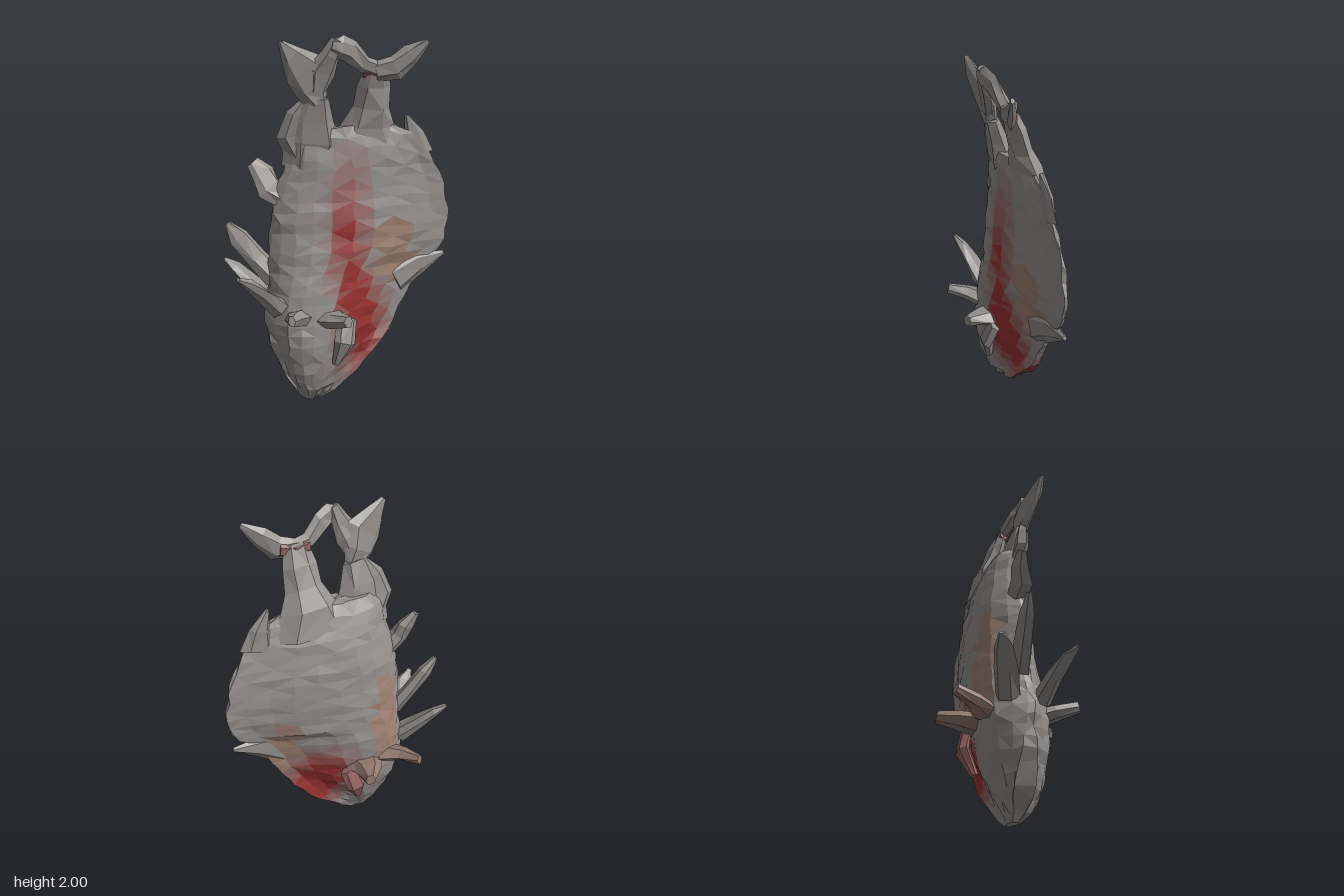
import * as THREE from 'three';

// small seeded random in -1..1
let seed = 7;
const rnd = () => {
  seed = (seed * 16807) % 2147483647;
  return (seed / 2147483647) * 2 - 1;
};
const V = (x, y, z) => new THREE.Vector3(x, y, z);

const makeMaterial = (color) =>
  new THREE.MeshStandardMaterial({ color, flatShading: true });
const GREY = 0x97928f, RED = 0x9c3432, TAN = 0xa08373;
const finMaterial = makeMaterial(0x918d89);

// skin colours: grey to red in steps, then a tan tint
const LEVELS = 6;
const skin = [];
for (let i = 0; i < LEVELS; i++)
  skin.push(makeMaterial(new THREE.Color(GREY).lerp(new THREE.Color(RED), i / (LEVELS - 1))));
skin.push(makeMaterial(TAN));

const spot = (p, x, y, rx, ry) =>
  Math.max(0, 1 - Math.hypot((p.x - x) / rx, (p.y - y) / ry));

// picks the skin colour index for a face centre
function skinIndex(p) {
  let red, tan;
  if (p.z > 0.03) {
    red = 1.5 * spot(p, 0.08, 0.42, 0.22, 0.4) + 1.1 * spot(p, 0, 0.92, 0.17, 0.62);
    tan = spot(p, 0.28, 0.85, 0.15, 0.3);
  } else {
    red = 1.7 * spot(p, 0.12, 0.38, 0.25, 0.36);
    tan = spot(p, -0.25, 0.8, 0.13, 0.4) + spot(p, 0.34, 0.68, 0.15, 0.3);
  }
  if (red < 0.25 && tan > 0.3) return LEVELS;
  return Math.min(LEVELS - 1, Math.round(red * (LEVELS - 1)));
}

// triangles of a closed skin over rings of points, with end caps
function loftTriangles(rings) {
  const tris = [], n = rings[0].length;
  for (let i = 0; i < rings.length - 1; i++)
    for (let j = 0; j < n; j++) {
      const k = (j + 1) % n;
      const a = rings[i][j], b = rings[i][k], c = rings[i + 1][k], d = rings[i + 1][j];
      if ((i + j) % 2) tris.push([a, b, c], [a, c, d]);
      else tris.push([a, b, d], [b, c, d]);
    }
  for (const [ring, top] of [[rings[0], false], [rings[rings.length - 1], true]]) {
    const m = ring.reduce((s, p) => s.add(p), V(0, 0, 0)).divideScalar(n);
    for (let j = 0; j < n; j++) {
      const a = ring[j], b = ring[(j + 1) % n];
      tris.push(top ? [a, b, m] : [b, a, m]);
    }
  }
  return tris;
}

function meshOf(name, tris, material) {
  const g = new THREE.BufferGeometry().setFromPoints(tris.flat());
  g.computeVertexNormals();
  const mesh = new THREE.Mesh(g, material);
  mesh.name = name;
  return mesh;
}

// a fin: path rows are x, y, z, half width, half thickness
function fin(name, path, across = V(1, 0, 0), material = finMaterial) {
  const pts = path.map((p) => V(p[0], p[1], p[2]));
  const rings = path.map((p, i) => {
    const dir = pts[Math.min(i + 1, pts.length - 1)].clone()
      .sub(pts[Math.max(i - 1, 0)]).normalize();
    const w = across.clone().addScaledVector(dir, -across.dot(dir)).normalize();
    const t = dir.clone().cross(w);
    return Array.from({ length: 6 }, (_, j) => {
      const a = (j / 6) * Math.PI * 2;
      return pts[i].clone()
        .addScaledVector(w, Math.cos(a) * p[3] * (1 + 0.12 * rnd()))
        .addScaledVector(t, Math.sin(a) * p[4] * (1 + 0.25 * rnd()));
    });
  });
  return meshOf(name, loftTriangles(rings), material);
}

// body sections: y, right edge x, left edge x, front z, back z
const SECTIONS = [
  [0.005, -0.23, -0.13, 0.07, 0.01], [0.05, -0.27, -0.06, 0.12, -0.01],
  [0.1, -0.3, 0, 0.15, -0.04], [0.2, -0.36, 0.11, 0.18, -0.08],
  [0.3, -0.4, 0.2, 0.2, -0.115], [0.4, -0.43, 0.28, 0.21, -0.14],
  [0.5, -0.445, 0.34, 0.2, -0.16], [0.62, -0.43, 0.4, 0.185, -0.17],
  [0.76, -0.41, 0.46, 0.165, -0.165], [0.83, -0.41, 0.59, 0.155, -0.16],
  [1, -0.4, 0.63, 0.14, -0.15], [1.2, -0.37, 0.59, 0.125, -0.13],
  [1.35, -0.32, 0.51, 0.12, -0.095], [1.46, -0.3, 0.42, 0.115, -0.06],
  [1.53, -0.24, 0.29, 0.1, -0.01],
];
const US = [0, 0.04, 0.11, 0.2, 0.3, 0.42, 0.54, 0.66, 0.78, 0.9, 1];
const BULGE = [0.1, 0.45, 0.8, 0.96, 1, 0.95, 0.8, 0.6, 0.36, 0.16, 0.07];

function sectionAt(y) {
  const i = Math.max(1, SECTIONS.findIndex((s) => s[0] >= y - 1e-6));
  const a = SECTIONS[i - 1], b = SECTIONS[i];
  return a.map((v, k) => THREE.MathUtils.lerp(v, b[k], (y - a[0]) / (b[0] - a[0])));
}

function body() {
  const ys = [0.005, 0.05, 0.1];
  for (let y = 0.155; y < 1.52; y += 0.055) ys.push(y);
  ys.push(1.53);
  const rings = ys.map((y, i) => {
    const [, x0, x1, zf, zb] = sectionAt(y);
    const edgeZ = 0.03 + 0.02 * THREE.MathUtils.smoothstep(y, 1.2, 1.5);
    const blunt = 0.5 * (1 - THREE.MathUtils.smoothstep(y, 0.05, 0.6));
    const wobble = i === 0 ? 0 : 0.009;
    const point = (k, z) => V(
      x0 + (x1 - x0) * US[k] + rnd() * wobble,
      y + rnd() * wobble,
      edgeZ + (z - edgeZ) * Math.max(blunt, BULGE[k]) + rnd() * wobble * 0.6);
    const back = US.map((_, k) => point(US.length - 1 - k, zb));
    const front = US.map((_, k) => point(k, zf));
    return [...back, ...front];
  });
  // sort the faces by colour
  const buckets = skin.map(() => []);
  for (const t of loftTriangles(rings))
    buckets[skinIndex(V(0, 0, 0).add(t[0]).add(t[1]).add(t[2]).divideScalar(3))].push(t);
  const g = new THREE.Group();
  g.name = 'body';
  buckets.forEach((tris, i) => {
    if (tris.length)
      g.add(meshOf(i === LEVELS ? 'tanSkin' : i ? 'redSkin' + i : 'greySkin', tris, skin[i]));
  });
  return g;
}

export function createModel() {
  seed = 7;
  const model = new THREE.Group();
  model.name = 'fish';
  const Y = V(0, 1, 0), D = V(1, 1, 0), E = V(1, -0.6, 0);
  model.add(
    body(),
    // tail
    fin('tailStalk', [[0.13, 1.38, 0.02, 0.24, 0.08], [0.13, 1.53, 0.04, 0.15, 0.065],
      [0.14, 1.63, 0.07, 0.105, 0.05], [0.15, 1.74, 0.1, 0.09, 0.04],
      [0.15, 1.85, 0.14, 0.06, 0.03]], undefined, skin[0]),
    fin('tailRoot', [[0.08, 1.83, 0.13, 0.04, 0.03], [0.15, 1.82, 0.135, 0.04, 0.04],
      [0.23, 1.83, 0.15, 0.04, 0.03]], Y, skin[3]),
    fin('tailLobeLeft', [[0.14, 1.82, 0.14, 0.05, 0.03], [0.24, 1.84, 0.16, 0.065, 0.028],
      [0.32, 1.9, 0.18, 0.055, 0.025], [0.4, 1.97, 0.21, 0.015, 0.012]], Y),
    fin('tailLobeRight', [[0.17, 1.82, 0.14, 0.045, 0.03], [0.08, 1.85, 0.14, 0.045, 0.03],
      [0.0, 1.92, 0.16, 0.06, 0.03], [-0.06, 1.94, 0.18, 0.06, 0.025],
      [-0.11, 1.95, 0.18, 0.03, 0.02]], Y),
    // rear belly fin with its forked end
    fin('rearFin', [[-0.2, 1.32, 0.03, 0.13, 0.07], [-0.18, 1.46, 0.06, 0.15, 0.06],
      [-0.18, 1.57, 0.08, 0.12, 0.05], [-0.165, 1.69, 0.11, 0.07, 0.035]]),
    fin('rearFinBarb', [[-0.22, 1.38, 0.04, 0.09, 0.05], [-0.29, 1.5, 0.06, 0.08, 0.035],
      [-0.26, 1.6, 0.08, 0.06, 0.03], [-0.22, 1.69, 0.1, 0.015, 0.015]]),
    fin('rearFinBlade', [[-0.16, 1.67, 0.11, 0.06, 0.03], [-0.2, 1.74, 0.12, 0.1, 0.035],
      [-0.24, 1.83, 0.14, 0.12, 0.03], [-0.31, 1.9, 0.16, 0.07, 0.025],
      [-0.365, 1.965, 0.17, 0.015, 0.012]], D),
    fin('rearFinFork', [[-0.17, 1.72, 0.12, 0.05, 0.03], [-0.15, 1.82, 0.14, 0.08, 0.03],
      [-0.11, 1.9, 0.16, 0.05, 0.03], [-0.08, 1.98, 0.18, 0.03, 0.02]]),
    // back fin
    fin('backFinTip', [[0.42, 1.36, 0.035, 0.1, 0.025], [0.4, 1.47, 0.04, 0.06, 0.022],
      [0.355, 1.575, 0.045, 0.012, 0.012]]),
    fin('backFinSpur', [[0.3, 0.66, 0.03, 0.1, 0.05], [0.45, 0.74, 0.03, 0.07, 0.03],
      [0.61, 0.78, 0.02, 0.012, 0.012]], Y),
    // belly fins
    fin('bellyFinUpper', [[-0.3, 1.14, 0.02, 0.06, 0.05], [-0.4, 1.22, 0.01, 0.075, 0.04],
      [-0.43, 1.29, -0.01, 0.07, 0.03], [-0.48, 1.355, -0.02, 0.035, 0.015]], E),
    fin('bellyFinMiddle', [[-0.38, 0.72, 0, 0.07, 0.05], [-0.47, 0.83, -0.02, 0.06, 0.04],
      [-0.56, 0.95, -0.04, 0.06, 0.03], [-0.62, 1.03, -0.05, 0.015, 0.015]], E));
  // paired fins on both faces of the body
  for (const s of [1, -1]) {
    const side = s > 0 ? 'Front' : 'Back';
    const rib = s > 0 ? finMaterial : makeMaterial(0x957b70);
    model.add(
      fin('bellyFin' + side, [[-0.38, 0.58, 0.02 + s * 0.09, 0.06, 0.05],
        [-0.48, 0.67, 0.01 + s * 0.13, 0.06, 0.035], [-0.56, 0.75, s * 0.17, 0.045, 0.025],
        [-0.615, 0.79, s * 0.2, 0.015, 0.012]], E),
      fin('cheekFin' + side, [[-0.27, 0.52, s * 0.13, 0.09, 0.05],
        [-0.33, 0.55, s * 0.22, 0.055, 0.04], [-0.37, 0.58, s * 0.33, 0.02, 0.03]], undefined, rib),
      fin('gillFin' + side, [[-0.12, 0.5, s * 0.12, 0.11, 0.06],
        [-0.1, 0.52, s * 0.22, 0.075, 0.045], [-0.06, 0.54, s * 0.315, 0.03, 0.03]], undefined, rib),
      fin('gillCover' + side, [[-0.02, 0.5, 0.01 + s * 0.15, 0.06, 0.03],
        [-0.05, 0.38, 0.02 + s * 0.19, 0.06, 0.035],
        [-0.09, 0.25, 0.03 + s * 0.15, 0.02, 0.02]], undefined, s > 0 ? finMaterial : skin[3]));
  }
  return model;
}
